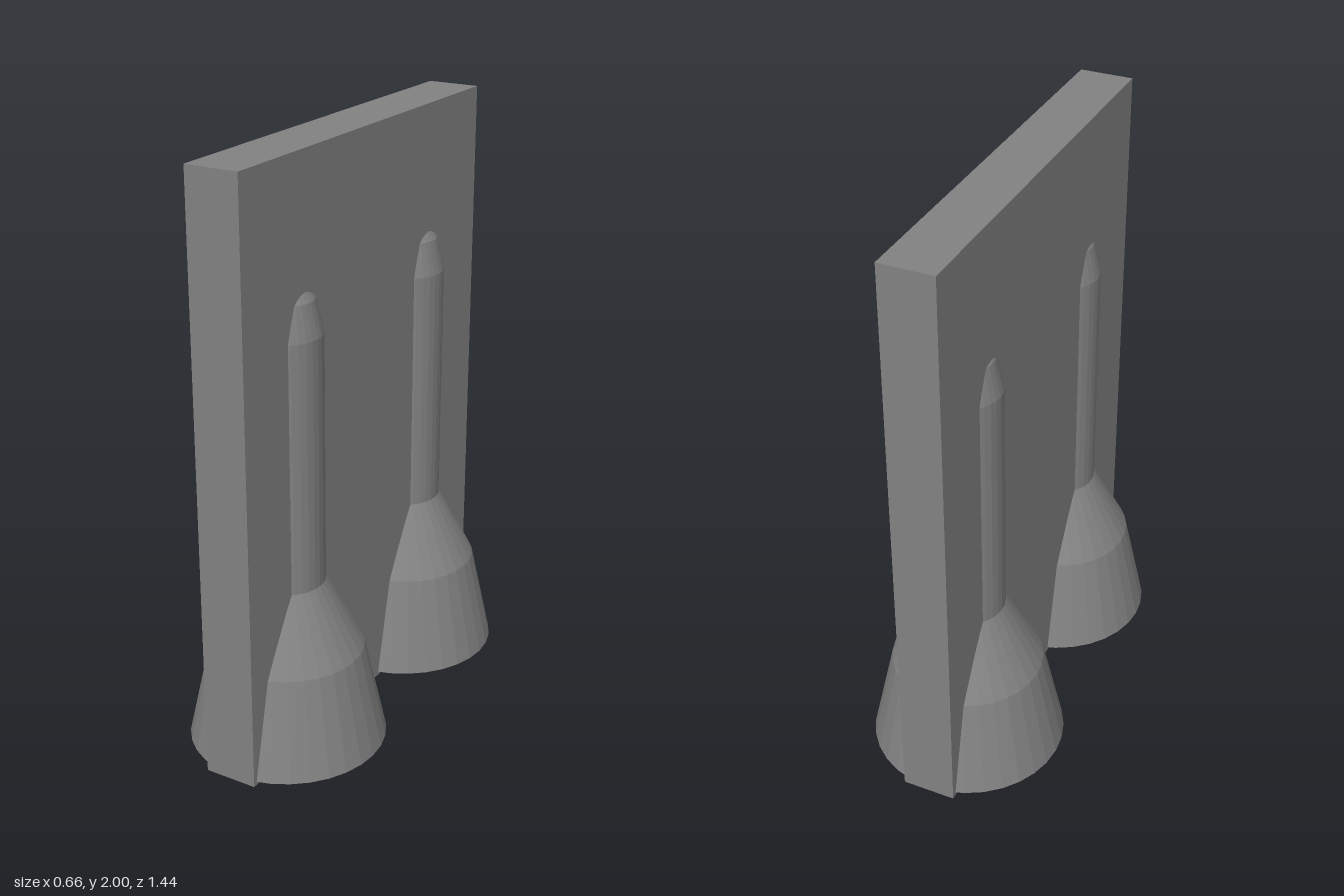
import * as THREE from 'three';

export function createModel() {
  const model = new THREE.Group();
  const material = new THREE.MeshStandardMaterial({ color: 0x828282, flatShading: true });

  // Upright slab, slightly off-centre in x
  const slab = new THREE.Mesh(new THREE.BoxGeometry(0.182, 2, 1.44), material);
  slab.name = 'slab';
  slab.position.set(-0.009, 1, 0);
  model.add(slab);

  // Closed spindle profile: flared base, slim shaft, rounded tip
  const profile = [
    [0, 0.012], [0.33, 0.012], [0.257, 0.345], [0.129, 0.585],
    [0.129, 1.425], [0.104, 1.537], [0.08, 1.571], [0, 1.6],
  ].map(([r, y]) => new THREE.Vector2(r, y));
  const spindleGeometry = new THREE.LatheGeometry(profile, 32);

  // Two spindles standing through the slab
  for (const side of [1, -1]) {
    const spindle = new THREE.Mesh(spindleGeometry, material);
    spindle.name = side > 0 ? 'frontSpindle' : 'backSpindle';
    spindle.position.set(-0.002, 0, side * 0.388);
    model.add(spindle);
  }

  return model;
}
